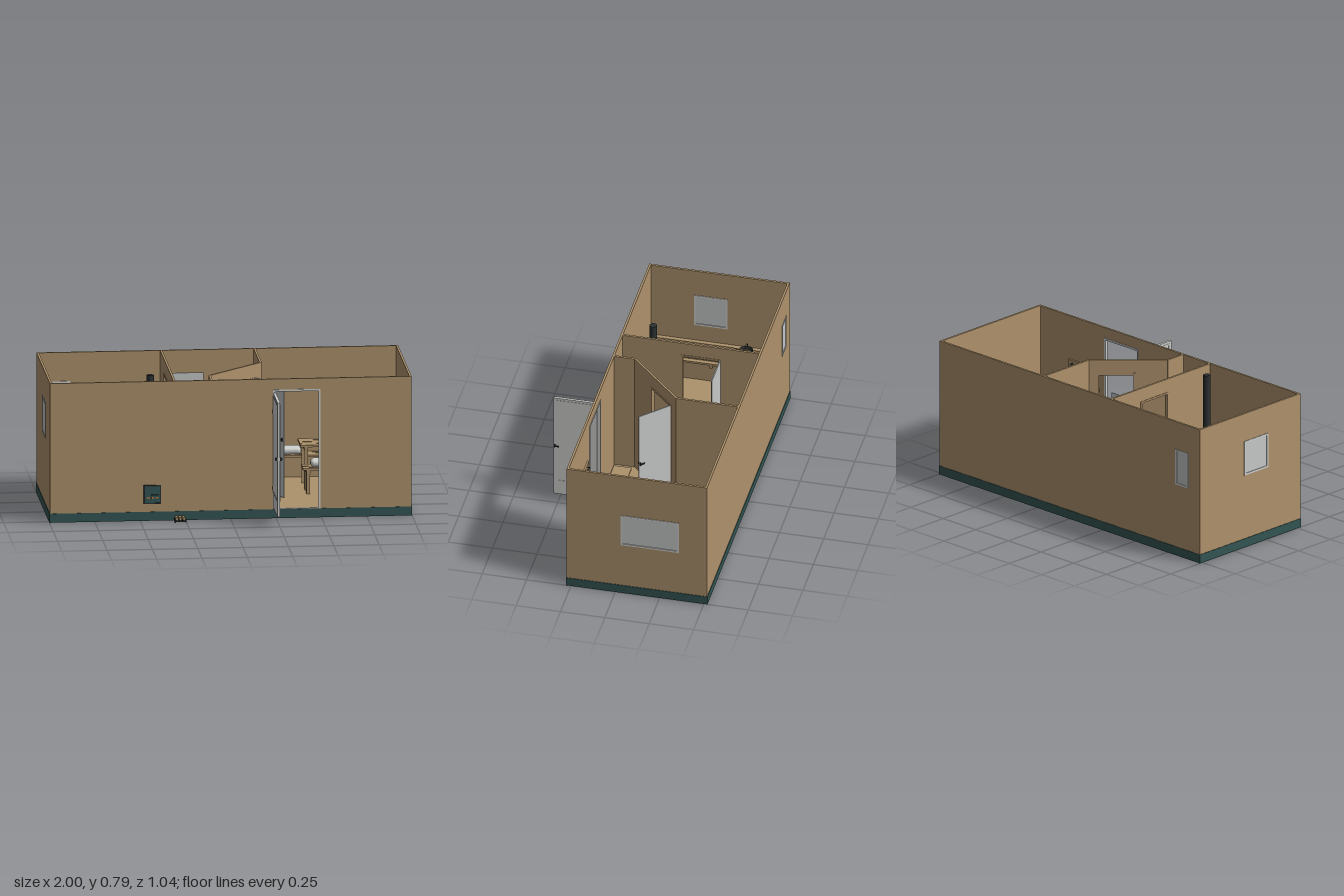
import * as THREE from 'three';
import { RoundedBoxGeometry } from 'three/addons/geometries/RoundedBoxGeometry.js';

const mat = (name, hex) => Object.assign(new THREE.MeshStandardMaterial({ color: hex }), { name });
const wood = mat('wood', 0xae926c);
const teal = mat('dark teal', 0x335553);
const pale = mat('pale trim', 0xced0cd);
const glass = mat('glass', 0xc6c9c9);
const tile = mat('floor tile', 0xb8b6af);
const iron = mat('black iron', 0x2b3031);
const stone = mat('stone', 0x4a4d4c);
const copper = mat('copper', 0xa8743f);

const T = 0.012, FLOOR = 0.055, TOP = 0.782;

export function createModel() {
  const model = new THREE.Group();
  model.name = 'saunaCabin';

  const add = (name, geo, m, x = 0, y = 0, z = 0, parent = model) => {
    const mesh = new THREE.Mesh(geo, m);
    mesh.name = name;
    mesh.position.set(x, y, z);
    parent.add(mesh);
    return mesh;
  };
  // Box given by its limits on each axis
  const box = (name, m, x0, x1, y0, y1, z0, z1, parent = model) =>
    add(name, new THREE.BoxGeometry(x1 - x0, y1 - y0, z1 - z0), m, (x0 + x1) / 2, (y0 + y1) / 2, (z0 + z1) / 2, parent);
  const cyl = (name, m, r0, r1, h, x, y, z, parent = model, sides = 24) =>
    add(name, new THREE.CylinderGeometry(r0, r1, h, sides), m, x, y + h / 2, z, parent);

  const rect = (C, [x0, x1, y0, y1]) => {
    const s = new C();
    s.moveTo(x0, y0); s.lineTo(x1, y0); s.lineTo(x1, y1); s.lineTo(x0, y1); s.closePath();
    return s;
  };
  const panel = (outer, holes, depth) => {
    const s = rect(THREE.Shape, outer);
    holes.forEach(h => s.holes.push(rect(THREE.Path, h)));
    return new THREE.ExtrudeGeometry(s, { depth, bevelEnabled: false }).translate(0, 0, -depth / 2);
  };

  // Wall from p to q (x, z), with openings [u0, u1, y0, y1, trim material, has pane]
  function wall(name, p, q, openings = []) {
    const g = new THREE.Group();
    g.name = name;
    g.position.set(p[0], 0, p[1]);
    g.rotation.y = Math.atan2(p[1] - q[1], q[0] - p[0]);
    const len = Math.hypot(q[0] - p[0], q[1] - p[1]);
    add(name + 'Panel', panel([0, len, 0.05, TOP], openings, T), wood, 0, 0, 0, g);
    for (const [a, b, c, d, trim, pane] of openings) {
      const e = 0.011;
      add(name + 'Trim', panel([a, b, c, d], [[a + e, b - e, pane ? c + e : c + 0.003, d - e]], T + 0.006), trim, 0, 0, 0, g);
      if (pane) box(name + 'Pane', glass, a + e, b - e, c + e, d - e, -0.005, 0.005, g);
    }
    model.add(g);
  }

  // Base and floors
  box('base', teal, -1, 1, 0, 0.05, -0.52, 0.277);
  box('woodFloor', wood, -0.99, 0.99, 0.05, FLOOR, -0.51, 0.265);
  const wash = new THREE.Shape([[-0.31, 0.51], [0.205, 0.51], [0.205, 0.16], [-0.105, -0.145], [-0.105, -0.265], [-0.31, -0.265]]
    .map(([x, y]) => new THREE.Vector2(x, y)));
  add('washroomFloor', new THREE.ExtrudeGeometry(wash, { depth: 0.004, bevelEnabled: false }).rotateX(-Math.PI / 2), tile, 0, FLOOR, 0);

  // Outer walls, windows and entrance
  const X = 0.991, ZB = -0.511, ZF = 0.269;
  wall('frontWall', [-0.997, ZF], [0.997, ZF], [[1.229, 1.492, 0.052, 0.722, pale, false]]);
  wall('backWall', [-0.997, ZB], [0.997, ZB], [[0.087, 0.187, 0.415, 0.62, pale, true]]);
  wall('rightWall', [-X, ZB + T / 2], [-X, ZF - T / 2], [[0.335, 0.525, 0.42, 0.62, pale, true]]);
  wall('leftWall', [X, ZB + T / 2], [X, ZF - T / 2], [[0.145, 0.475, 0.32, 0.52, pale, true]]);

  // Inner partitions
  wall('saunaPartition', [-0.31, -0.505], [-0.31, 0.263], [[0.22, 0.44, 0.055, 0.705, wood, false]]);
  wall('washPartition', [0.205, -0.505], [0.205, -0.158]);
  wall('diagonalPartition', [0.207, -0.162], [-0.105, 0.145], [[0.05, 0.262, 0.055, 0.705, wood, false]]);
  wall('vestibulePartition', [-0.105, 0.142], [-0.105, 0.263]);

  // Open doors: local +x runs from the hinge to the handle
  function door(name, x, z, angle, w, thick, framed) {
    const g = new THREE.Group();
    g.name = name;
    g.position.set(x, 0, z);
    g.rotation.y = angle;
    box(name + 'Leaf', framed ? pale : glass, 0, w, 0.06, 0.703, -thick / 2, thick / 2, g);
    for (const s of [-1, 1]) {
      const f = s * thick / 2;
      if (framed) {
        add(name + 'Moulding', panel([0.008, w - 0.012, 0.145, 0.69], [[0.016, w - 0.02, 0.153, 0.682]], 0.004), pale, 0, 0, f, g);
      }
      box(name + 'Handle', iron, w - 0.032, w - 0.004, 0.381, 0.387, f + s * 0.009 - 0.003, f + s * 0.009 + 0.003, g);
      box(name + 'HandleStem', iron, w - 0.01, w - 0.004, 0.375, 0.393, Math.min(f, f + s * 0.009), Math.max(f, f + s * 0.009), g);
    }
    for (const y of [0.16, 0.59]) cyl(name + 'Hinge', iron, 0.004, 0.004, 0.022, 0, y, thick / 2, g, 10);
    model.add(g);
  }
  door('entranceDoor', 0.242, 0.278, -Math.PI / 2, 0.245, 0.015, true);
  door('saunaDoor', -0.303, -0.285, 0, 0.205, 0.006, false);
  door('washroomDoor', 0.172, -0.118, -Math.PI / 4, 0.205, 0.006, false);

  // Slatted bench or table: slats run along x or z
  function slatted(name, x0, x1, z0, z1, top, alongX, n, legs = true) {
    const g = new THREE.Group();
    g.name = name;
    const gap = 0.005, a = alongX ? z0 : x0, w = ((alongX ? z1 : x1) - a + gap) / n;
    for (let i = 0; i < n; i++) {
      const s = a + i * w, e = s + w - gap;
      if (alongX) box(name + 'Slat', wood, x0, x1, top - 0.012, top, s, e, g);
      else box(name + 'Slat', wood, s, e, top - 0.012, top, z0, z1, g);
    }
    for (let i = 0; i < 3; i++) {
      const t = 0.02 + i * ((alongX ? x1 - x0 : z1 - z0) - 0.06) / 2, bot = Math.max(FLOOR, top - 0.03);
      if (alongX) box(name + 'Bearer', wood, x0 + t, x0 + t + 0.02, bot, top - 0.012, z0, z1, g);
      else box(name + 'Bearer', wood, x0, x1, bot, top - 0.012, z0 + t, z0 + t + 0.02, g);
    }
    if (legs) for (const x of [x0 + 0.02, x1 - 0.04]) for (const z of [z0 + 0.005, z1 - 0.025])
      box(name + 'Leg', wood, x, x + 0.02, FLOOR, top - 0.012, z, z + 0.02, g);
    model.add(g);
  }
  // Steam room
  slatted('upperBench', -0.983, -0.78, -0.503, 0.26, 0.32, false, 7);
  slatted('lowerBench', -0.75, -0.32, -0.503, -0.312, 0.2, true, 6);
  slatted('floorGrate', -0.64, -0.32, -0.305, 0.255, 0.072, false, 10, false);
  // Washroom
  slatted('washBench', -0.14, 0.195, -0.503, -0.39, 0.2, true, 4);
  slatted('basinBench', -0.295, -0.114, 0.145, 0.26, 0.2, true, 3);
  // Rest room
  slatted('backBench', 0.25, 0.98, -0.503, -0.4, 0.2, true, 4);
  slatted('table', 0.43, 0.98, -0.375, -0.2, 0.3, true, 4);
  slatted('frontBench', 0.43, 0.98, -0.178, -0.062, 0.2, true, 4);
  box('doorMat', wood, -0.08, 0.05, FLOOR, FLOOR + 0.006, 0.16, 0.26);

  for (const [x, z] of [[0.39, -0.452], [0.83, -0.452], [0.54, -0.12], [0.87, -0.12]])
    add('pillow', new RoundedBoxGeometry(0.13, 0.042, 0.082, 4, 0.02), pale, x, 0.221, z);

  // Stove with stones, chimney and firebox tunnel
  box('stoveBody', teal, -0.51, -0.35, 0.08, 0.36, 0.07, 0.21);
  box('stoveFoot', iron, -0.5, -0.36, FLOOR, 0.08, 0.08, 0.2);
  add('stoveRim', panel([-0.51, -0.35, -0.21, -0.07], [[-0.5, -0.36, -0.2, -0.08]], 0.03).rotateX(-Math.PI / 2), teal, 0, 0.375, 0);
  for (let i = 0; i < 5; i++) for (let j = 0; j < 5; j++) {
    const s = add('stoveStone', new THREE.IcosahedronGeometry(0.016, 0), stone, -0.486 + i * 0.028, 0.366 + ((i * 3 + j * 2) % 4) * 0.006, 0.092 + j * 0.024);
    s.rotation.set(i + j, i * 2, j * 3);
  }
  cyl('chimney', iron, 0.02, 0.02, 0.425, -0.43, 0.36, 0.12);
  box('fireTunnel', iron, -0.475, -0.39, 0.1, 0.195, 0.21, 0.27);
  add('fireboxFrame', panel([-0.48, -0.385, 0.095, 0.2], [[-0.474, -0.391, 0.101, 0.194]], 0.008), iron, 0, 0, 0.278);
  box('fireboxDoor', teal, -0.474, -0.391, 0.101, 0.194, 0.27, 0.279);
  for (let i = 0; i < 3; i++) box('fireboxVent', copper, -0.462 + i * 0.023, -0.446 + i * 0.023, 0.124, 0.134, 0.279, 0.281);
  box('fireboxHandle', iron, -0.44, -0.395, 0.142, 0.147, 0.279, 0.285);

  // Firewood tray outside
  box('firewoodTray', iron, -0.315, -0.25, 0.004, 0.012, 0.285, 0.345);
  for (const x of [-0.315, -0.256]) box('trayRunner', iron, x, x + 0.006, 0, 0.016, 0.285, 0.345);
  for (let i = 0; i < 3; i++)
    add('firewoodLog', new THREE.CylinderGeometry(0.009, 0.009, 0.05, 8).rotateX(Math.PI / 2), wood, -0.302 + i * 0.0195, 0.021, 0.315);

  // Open bucket or bowl by profile
  const bowl = (name, m, r0, r1, h, x, y, z) => add(name, new THREE.LatheGeometry(
    [[0, 0], [r0, 0], [r1, h], [r1 - 0.005, h], [r0 - 0.004, 0.006], [0, 0.006]].map(([a, b]) => new THREE.Vector2(a, b)), 24), m, x, y, z);
  bowl('steamBucket', iron, 0.032, 0.04, 0.06, -0.87, 0.32, -0.3);
  cyl('bucketWater', stone, 0.034, 0.034, 0.003, -0.87, 0.36, -0.3);
  add('bucketHandle', new THREE.TorusGeometry(0.038, 0.002, 6, 20, Math.PI), iron, -0.87, 0.378, -0.3);
  box('ladleHandle', wood, -0.874, -0.868, 0.378, 0.382, -0.32, -0.23);
  bowl('washBowl', copper, 0.03, 0.044, 0.05, -0.243, 0.2, 0.2);
  box('foldedTowel', pale, -0.205, -0.14, 0.2, 0.23, 0.168, 0.236);
  box('foldedTowel', pale, 0.04, 0.12, 0.2, 0.23, -0.48, -0.41);

  // Tea urn and cups on the table
  add('teaUrn', new THREE.LatheGeometry([[0, 0], [0.022, 0], [0.014, 0.012], [0.026, 0.03], [0.03, 0.06], [0.02, 0.075], [0.012, 0.09], [0, 0.094]]
    .map(([a, b]) => new THREE.Vector2(a, b)), 24), pale, 0.705, 0.3, -0.29);
  add('teaUrnTap', new THREE.CylinderGeometry(0.003, 0.003, 0.03, 8).rotateX(Math.PI / 2), copper, 0.705, 0.325, -0.255);
  for (const x of [0.668, 0.74]) bowl('cup', pale, 0.007, 0.011, 0.016, x, 0.3, -0.255);

  // Coat rack on the inside of the front wall
  add('coatRackFrame', panel([0.55, 0.76, 0.38, 0.53], [[0.564, 0.746, 0.394, 0.5]], 0.01), wood, 0, 0, 0.257);
  for (let i = 0; i < 5; i++) {
    box('coatRackSlat', wood, 0.583 + i * 0.034, 0.595 + i * 0.034, 0.394, 0.5, 0.253, 0.261);
    box('coatHook', iron, 0.587 + i * 0.034, 0.591 + i * 0.034, 0.51, 0.516, 0.235, 0.253);
  }
  return model;
}
